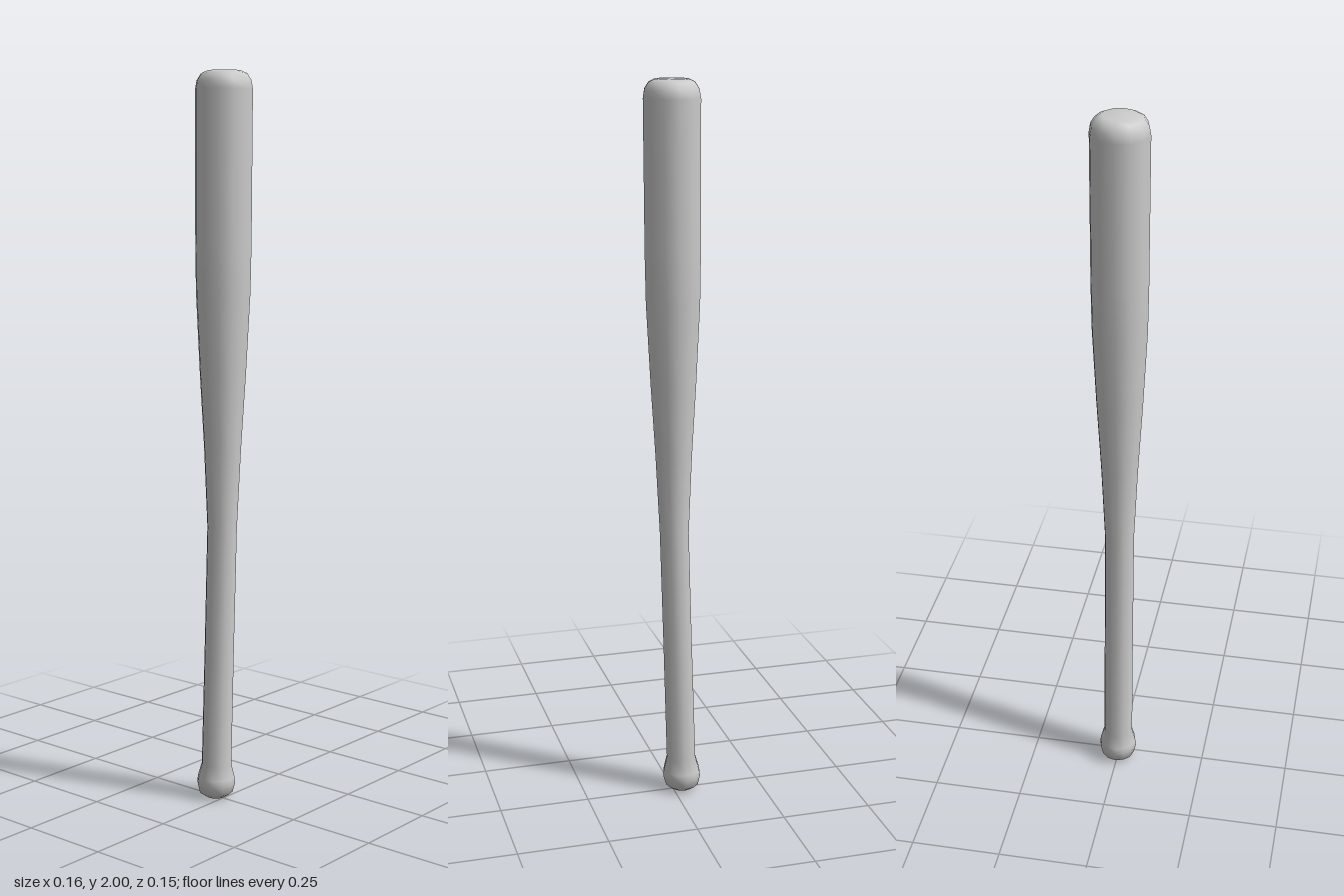
import * as THREE from 'three';

// Sideways drift of the centre line: the handle leans more than the barrel
function centreX(y) {
  return y < 0.8 ? -0.027 + 0.024 * (y / 0.8) : -0.003 + 0.006 * ((y - 0.8) / 1.2);
}

export function createModel() {
  const group = new THREE.Group();
  group.name = 'bat';
  const material = new THREE.MeshStandardMaterial({ color: 0xcccccc });

  // [radius, height] from the knob up to the rounded barrel end
  const profile = [
    [0, 0.003], [0.028, 0.005], [0.047, 0.018], [0.054, 0.045], [0.052, 0.063],
    [0.042, 0.1], [0.041, 0.45], [0.041, 0.78], [0.051, 1.0], [0.063, 1.2],
    [0.074, 1.42], [0.076, 1.55], [0.077, 1.95], [0.073, 1.973], [0.062, 1.99],
    [0.045, 1.998], [0, 2],
  ].map(([r, y]) => new THREE.Vector2(r, y));

  // Twelve-sided turned body, shifted along the leaning centre line
  const geometry = new THREE.LatheGeometry(profile, 12);
  const pos = geometry.attributes.position;
  for (let i = 0; i < pos.count; i++) pos.setX(i, pos.getX(i) + centreX(pos.getY(i)));

  const body = new THREE.Mesh(geometry, material);
  body.name = 'batBody';
  group.add(body);
  return group;
}
